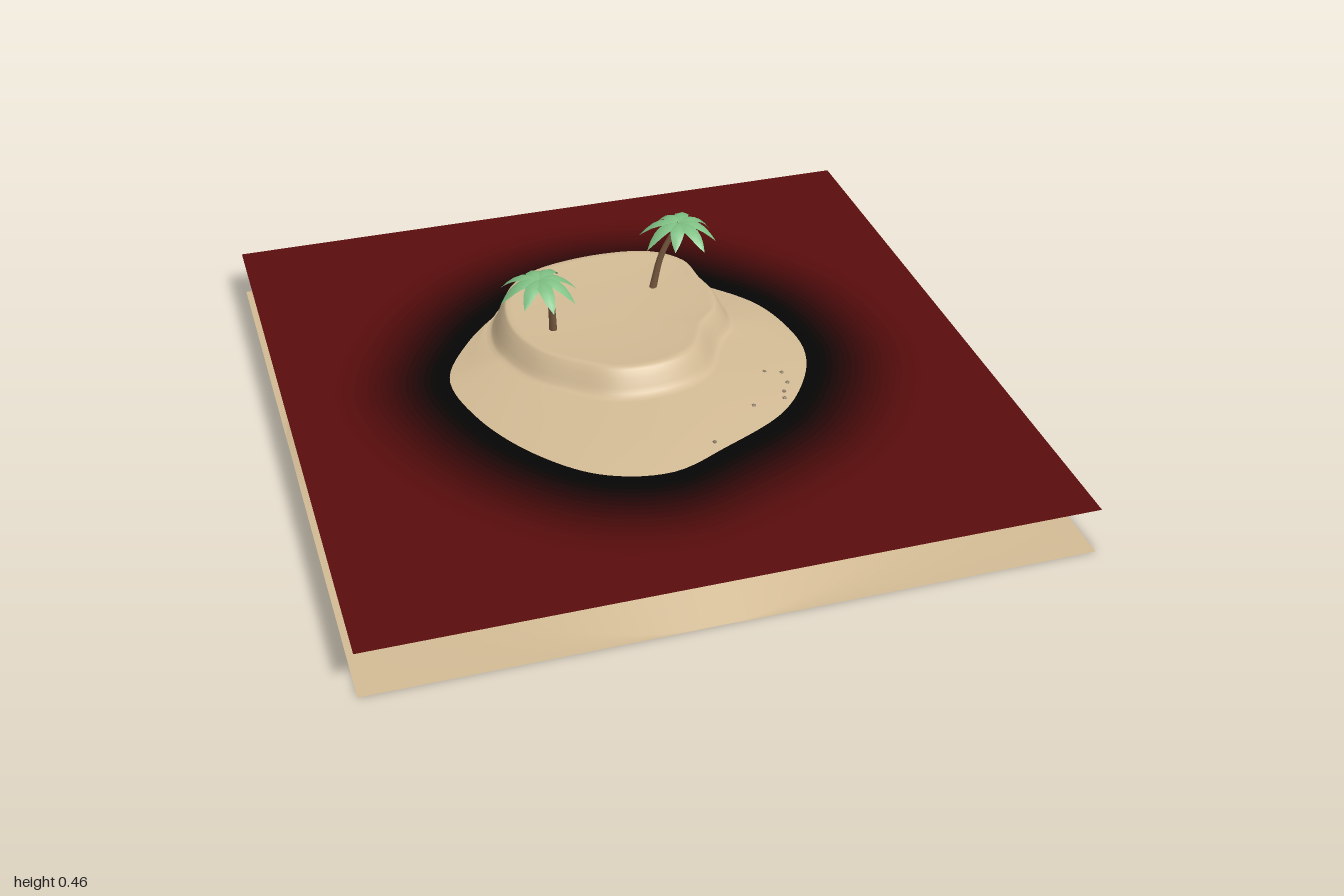
import * as THREE from 'three';

const WATER_Y = 0.14, KINK_Y = 0.113, CZ = -0.12; // outlines are measured around (0, CZ)
const mat = (color, extra = {}) => new THREE.MeshStandardMaterial({ color, ...extra });
const mesh = (name, geo, material) => {
  const m = new THREE.Mesh(geo, material);
  m.name = name;
  return m;
};

// Closed smooth outline through [x, z] points, returned as radius(angle) around (0, CZ)
function outline(pts) {
  const curve = new THREE.CatmullRomCurve3(pts.map(([x, z]) => new THREE.Vector3(x, 0, z - CZ)), true);
  const table = curve.getPoints(360)
    .map(p => [(Math.atan2(p.z, p.x) + 2 * Math.PI) % (2 * Math.PI), Math.hypot(p.x, p.z)])
    .sort((a, b) => a[0] - b[0]);
  return angle => {
    const a = (angle + 4 * Math.PI) % (2 * Math.PI);
    let i = table.findIndex(t => t[0] > a);
    if (i < 1) return table[0][1];
    const [p, q] = [table[i - 1], table[i]];
    return p[1] + (q[1] - p[1]) * (a - p[0]) / (q[0] - p[0] || 1);
  };
}

const shoreLine = outline([[.52, -.08], [.52, .05], [.47, .18], [.35, .33], [.14, .445], [-.04, .515],
  [-.225, .47], [-.375, .325], [-.485, .115], [-.52, -.1], [-.43, -.275], [-.3, -.415], [-.165, -.495],
  [.015, -.54], [.235, -.5], [.335, -.41], [.47, -.25]]);
const mesaRim = outline([[.315, -.2], [.295, -.1], [.235, -.03], [.165, .09], [.06, .14], [-.08, .135],
  [-.18, .07], [-.27, -.02], [-.32, -.17], [-.29, -.35], [-.2, -.455], [0, -.505], [.2, -.48],
  [.285, -.4], [.3, -.29]]);

const footRadius = a => mesaRim(a) + 0.045;
const shoreRadius = a => Math.max(shoreLine(a), footRadius(a) + 0.004);
const footHeight = a => WATER_Y + Math.min(0.032, 0.2 * (shoreRadius(a) - footRadius(a)));

// Radial section of the island from the centre to the square edge at distance edge
function section(a, edge) {
  const rim = mesaRim(a), foot = footRadius(a), shore = shoreRadius(a), fy = footHeight(a);
  const kink = shore + 0.16 - 0.08 * Math.max(0, -Math.sin(a)) ** 2;
  const slope = r => Math.max(0, KINK_Y * (1 - (r - kink) / 0.33));
  const wall = t => fy + (0.24 - fy) * t;
  const toe = Math.min(foot + 0.015, (foot + shore) / 2);
  const mid = (toe + shore) / 2, end = Math.min(kink + 0.33, edge * 0.995);
  return [
    [0, 0.236], [rim * 0.45, 0.238], [rim * 0.8, 0.241], [rim - 0.025, 0.246], [rim - 0.008, 0.246],
    [rim, 0.24], [rim + 0.014, wall(0.7)], [rim + 0.027, wall(0.35)], [rim + 0.036, wall(0.12)],
    [foot, fy], [toe, fy - (fy - WATER_Y) * 0.08], [mid, (fy + WATER_Y) / 2 + 0.002],
    [shore, WATER_Y], [kink - 0.01, KINK_Y + 0.002], [kink, KINK_Y], [kink + 0.015, slope(kink + 0.015)],
    [(kink + end) / 2, slope((kink + end) / 2)], [end, slope(end)], [edge, slope(edge)],
  ];
}

function islandGeometry() {
  const perSide = 36, corners = [[1, -1], [1, 1], [-1, 1], [-1, -1]];
  const pos = [], index = [], n = perSide * 4;
  let rings = 0;
  for (let i = 0; i < n; i++) {
    const s = Math.floor(i / perSide), t = (i % perSide) / perSide;
    const [p, q] = [corners[s], corners[(s + 1) % 4]];
    const x = p[0] + (q[0] - p[0]) * t, z = p[1] + (q[1] - p[1]) * t - CZ;
    const a = Math.atan2(z, x), profile = section(a, Math.hypot(x, z));
    rings = profile.length;
    for (const [r, y] of profile) pos.push(Math.cos(a) * r, y, Math.sin(a) * r + CZ);
  }
  for (let i = 0; i < n; i++) {
    for (let j = 0; j < rings - 1; j++) {
      const a = i * rings + j, b = ((i + 1) % n) * rings + j;
      if (j > 0) index.push(a, b, a + 1);
      index.push(b, b + 1, a + 1);
    }
  }
  const geo = new THREE.BufferGeometry();
  geo.setAttribute('position', new THREE.Float32BufferAttribute(pos, 3));
  geo.setIndex(index);
  geo.computeVertexNormals();
  for (let i = 0; i < n; i++) geo.attributes.normal.setXYZ(i * rings, 0, 1, 0);
  return geo;
}

// Flat water sheet in bands that darken toward the shore
function createWater() {
  const water = new THREE.Group();
  water.name = 'water';
  const bands = 18, deep = new THREE.Color(0x5a0c0c), dark = new THREE.Color(0x050505);
  const loop = grow => Array.from({ length: 96 }, (_, i) => {
    const a = i / 96 * Math.PI * 2, r = shoreLine(a) + grow;
    return new THREE.Vector2(Math.cos(a) * r, -(Math.sin(a) * r + CZ));
  });
  const square = [[-1, -1], [1, -1], [1, 1], [-1, 1]].map(p => new THREE.Vector2(...p));
  const grow = i => 0.04 + i * 0.0185;
  for (let i = 0; i <= bands; i++) {
    const shape = new THREE.Shape(i === bands ? square : loop(grow(i)));
    if (i > 0) shape.holes.push(new THREE.Path(loop(grow(i - 1))));
    const geo = new THREE.ShapeGeometry(shape).rotateX(-Math.PI / 2).translate(0, WATER_Y, 0);
    const color = dark.clone().lerp(deep, THREE.MathUtils.smoothstep(i / bands, 0, 1));
    water.add(mesh('waterBand', geo, mat(color, { side: THREE.DoubleSide })));
  }
  return water;
}

// Drooping leaf with a raised midrib, growing along +x
function frondGeometry(length, width, droop) {
  const steps = 6, pos = [], index = [];
  for (let i = 0; i <= steps; i++) {
    const t = i / steps, w = width * Math.sin(Math.PI * Math.min(1, 0.12 + t * 0.88)) ** 0.8;
    const x = length * t, y = 0.012 * Math.sin(Math.PI * t) - droop * t ** 2.2;
    pos.push(x, y - w * 0.35, -w, x, y, 0, x, y - w * 0.35, w);
    if (i < steps) {
      for (let k = 0; k < 2; k++) {
        const a = i * 3 + k;
        index.push(a, a + 1, a + 3, a + 1, a + 4, a + 3);
      }
    }
  }
  const geo = new THREE.BufferGeometry();
  geo.setAttribute('position', new THREE.Float32BufferAttribute(pos, 3));
  geo.setIndex(index);
  geo.computeVertexNormals();
  return geo;
}

function createPalm(base, bend, top, turn) {
  const palm = new THREE.Group();
  palm.name = 'palmTree';
  const curve = new THREE.CatmullRomCurve3([base, bend, top].map(p => new THREE.Vector3(...p)));
  // Trunk tube, tapered toward the crown
  const segments = 12, sides = 8, trunk = new THREE.TubeGeometry(curve, segments, 0.012, sides);
  const p = trunk.attributes.position, v = new THREE.Vector3();
  for (let i = 0; i < p.count; i++) {
    const t = Math.floor(i / (sides + 1)) / segments, c = curve.getPointAt(t);
    v.fromBufferAttribute(p, i).sub(c).multiplyScalar(1 - 0.4 * t).add(c);
    p.setXYZ(i, v.x, v.y, v.z);
  }
  palm.add(mesh('trunk', trunk, mat(0x77593f)));
  // Crown of fronds
  const crown = new THREE.Group();
  crown.name = 'crown';
  crown.position.set(...top);
  const green = mat(0x7fc084, { side: THREE.DoubleSide });
  for (let i = 0; i < 8; i++) {
    const frond = mesh('frond', frondGeometry(0.115 + 0.012 * Math.sin(i * 2.3), 0.021, 0.05 + 0.008 * Math.cos(i * 1.7)), green);
    frond.rotation.y = turn + i * Math.PI / 4 + 0.1 * Math.sin(i * 3.1);
    crown.add(frond);
  }
  palm.add(crown);
  return palm;
}

export function createModel() {
  const model = new THREE.Group();
  model.name = 'desertIsland';
  model.add(mesh('sandIsland', islandGeometry(), mat(0xd2ba94, { side: THREE.DoubleSide })));
  model.add(createWater());
  model.add(createPalm([-.2, .235, -.13], [-.212, .35, -.108], [-.255, .456, -.06], 0.1));
  model.add(createPalm([.15, .235, -.278], [.175, .35, -.272], [.225, .458, -.258], 0.35));

  // Pebbles scattered on the beach
  const stone = mat(0x8a7a64, { flatShading: true });
  [[.36, .14], [.41, .15], [.41, .2], [.385, .24], [.375, .27], [.275, .29], [.115, .42]].forEach(([x, z], i) => {
    const a = Math.atan2(z - CZ, x), r = Math.hypot(x, z - CZ), foot = footRadius(a);
    const t = THREE.MathUtils.clamp((r - foot) / (shoreRadius(a) - foot), 0, 1);
    const pebble = mesh('pebble', new THREE.IcosahedronGeometry(0.007, 0), stone);
    pebble.position.set(x, THREE.MathUtils.lerp(footHeight(a), WATER_Y, t) + 0.002, z);
    pebble.scale.y = 0.6;
    pebble.rotation.y = i;
    model.add(pebble);
  });
  return model;
}
